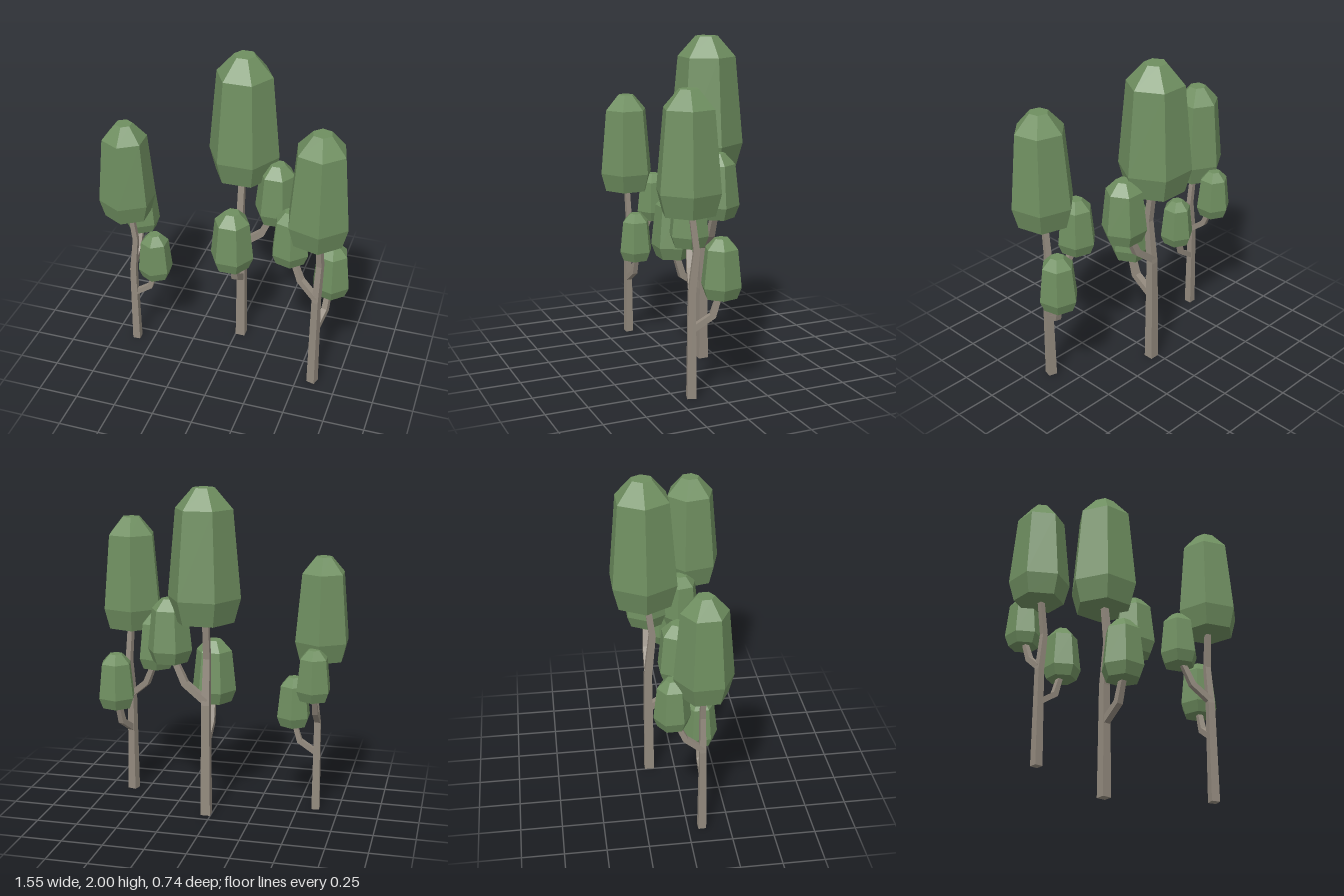
import * as THREE from 'three';

const leafGreen = new THREE.MeshStandardMaterial({ color: 0x6f8f60 });
leafGreen.name = 'leaf green';
const barkGrey = new THREE.MeshStandardMaterial({ color: 0x938a7e });
barkGrey.name = 'bark grey';

// Faceted, capped loft: rings of the given radii along a path.
// 'side' is perpendicular to the plane the path lies in.
function loft(path, radii, sides, startAngle, side) {
  const pts = path.map((p) => new THREE.Vector3(...p));
  const last = pts.length - 1;
  const rings = pts.map((p, i) => {
    const tangent = pts[Math.min(i + 1, last)].clone().sub(pts[Math.max(i - 1, 0)]).normalize();
    const normal = tangent.cross(side).normalize();
    return Array.from({ length: sides }, (_, k) => {
      const a = startAngle + (k / sides) * Math.PI * 2;
      return p.clone()
        .addScaledVector(side, Math.cos(a) * radii[i])
        .addScaledVector(normal, Math.sin(a) * radii[i]);
    });
  });
  const tris = [];
  for (let k = 0; k < sides; k++) {
    const n = (k + 1) % sides;
    for (let i = 0; i < last; i++) {
      const [a, b, c, d] = [rings[i][k], rings[i][n], rings[i + 1][n], rings[i + 1][k]];
      tris.push(a, b, c, a, c, d);
    }
    tris.push(pts[0], rings[0][n], rings[0][k], pts[last], rings[last][k], rings[last][n]);
  }
  const geometry = new THREE.BufferGeometry().setFromPoints(tris);
  geometry.computeVertexNormals(); // unshared corners give flat facets
  return geometry;
}

const X = new THREE.Vector3(1, 0, 0);
const Z = new THREE.Vector3(0, 0, 1);

// Square-section wood; widths are the side lengths
const wood = (path, widths, side) =>
  loft(path, widths.map((w) => w * Math.SQRT1_2), 4, Math.PI / 4, side);

// Six-sided foliage; profile is a list of [radius, height]
const foliage = (x, z, profile) =>
  loft(profile.map(([, y]) => [x, y, z]), profile.map(([r]) => r), 6, 0, X);

const smallProfile = (y) => [[0.108, y], [0.137, y + 0.075], [0.11, y + 0.32], [0.048, y + 0.385]];

const parts = [
  ['trunk', barkGrey, wood(
    [[0, 0, 0], [0, 0.7, 0], [0, 0.98, 0.03], [0, 1.25, -0.005], [0, 1.4, -0.02]],
    [0.06, 0.048, 0.04, 0.036, 0.03], X)],
  ['lowerBranch', barkGrey, wood(
    [[0, 0.46, 0], [0, 0.55, 0.135], [0, 0.76, 0.2]], [0.042, 0.042, 0.032], X)],
  ['upperBranch', barkGrey, wood(
    [[0, 0.72, 0], [0.13, 0.825, 0.005], [0.225, 1.03, 0.012]], [0.042, 0.042, 0.032], Z)],
  ['mainCrown', leafGreen, foliage(0.004, -0.02,
    [[0.18, 1.22], [0.22, 1.365], [0.172, 1.88], [0.066, 2]])],
  ['lowerCrown', leafGreen, foliage(-0.006, 0.188, smallProfile(0.675))],
  ['upperCrown', leafGreen, foliage(0.224, 0.013, smallProfile(0.955))],
];

function makeTree(name, x, z, scale, degrees) {
  const tree = new THREE.Group();
  tree.name = name;
  for (const [partName, material, geometry] of parts) {
    const mesh = new THREE.Mesh(geometry, material);
    mesh.name = partName;
    tree.add(mesh);
  }
  tree.position.set(x, 0, z);
  tree.scale.setScalar(scale);
  tree.rotation.y = THREE.MathUtils.degToRad(degrees);
  return tree;
}

export function createModel() {
  const grove = new THREE.Group();
  grove.name = 'treeGrove';
  grove.add(
    makeTree('tallTree', 0.031, -0.162, 1, 0),
    makeTree('mediumTree', 0.597, 0.161, 0.885, 164),
    makeTree('shortTree', -0.609, 0.084, 0.7925, 92),
  );
  return grove;
}
